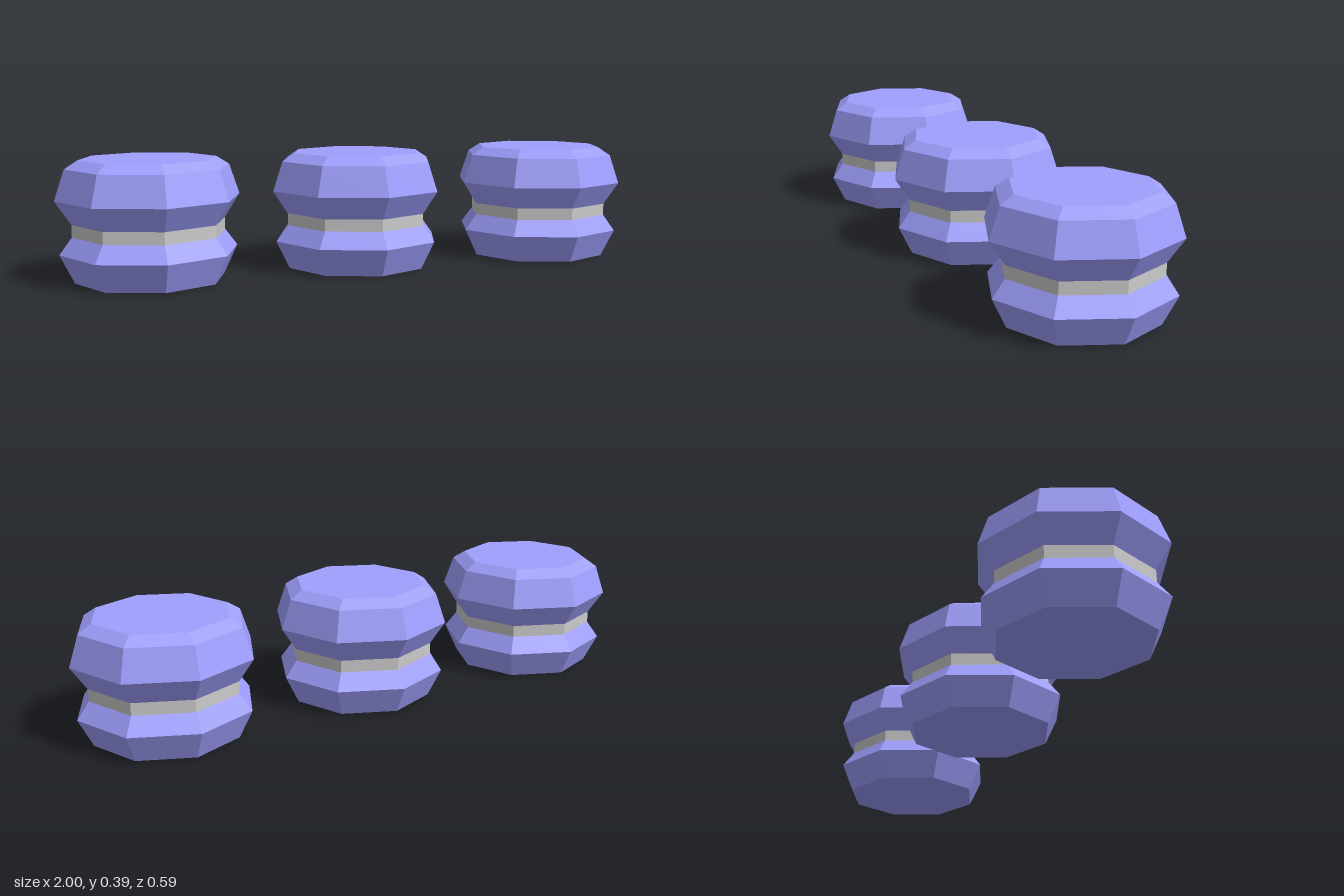
import * as THREE from 'three';

const blue = new THREE.MeshStandardMaterial({ color: 0x9f9fff, flatShading: true });
const grey = new THREE.MeshStandardMaterial({ color: 0xcccccc, flatShading: true });

// Eight-sided turned part from [radius, height] pairs, listed bottom to top
function turned(name, profile, material) {
  const points = profile.map(([r, y]) => new THREE.Vector2(r, y));
  const mesh = new THREE.Mesh(new THREE.LatheGeometry(points, 8), material);
  mesh.name = name;
  return mesh;
}

// One sandwich: lower shell, filling band and domed upper shell
function createSandwich() {
  const sandwich = new THREE.Group();
  sandwich.add(
    turned('lowerShell', [[0, 0], [0.24, 0], [0.285, 0.093], [0.245, 0.147]], blue),
    turned('filling', [[0.245, 0.147], [0.245, 0.187]], grey),
    turned('upperShell', [[0.245, 0.187], [0.295, 0.263], [0.262, 0.361], [0.22, 0.388], [0, 0.388]], blue)
  );
  return sandwich;
}

export function createModel() {
  const model = new THREE.Group();
  model.name = 'sandwichRow';
  // Three identical pieces in a row
  ['rightSandwich', 'middleSandwich', 'leftSandwich'].forEach((name, i) => {
    const sandwich = createSandwich();
    sandwich.name = name;
    sandwich.position.x = (i - 1) * 0.705;
    model.add(sandwich);
  });
  return model;
}
